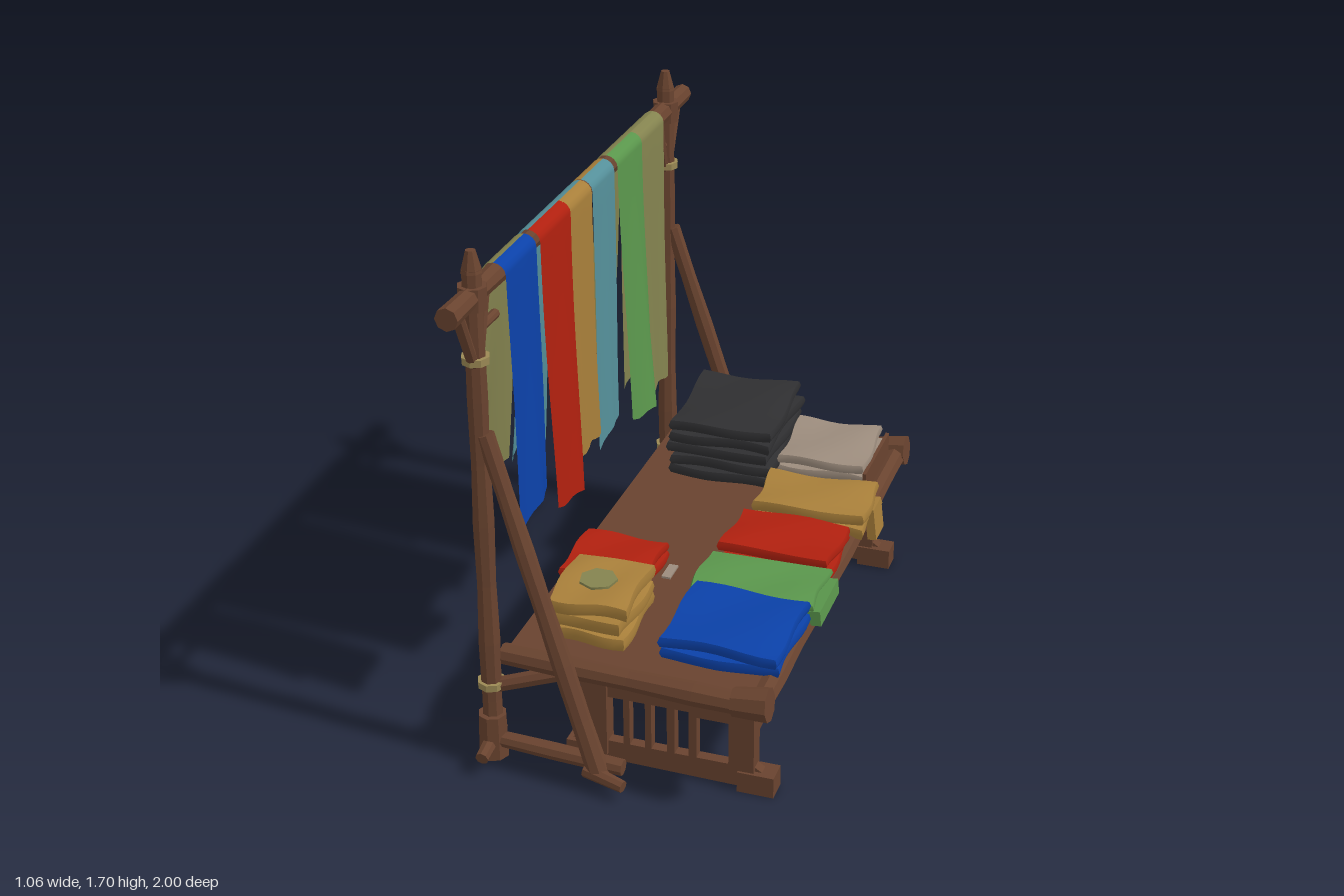
import * as THREE from 'three';

const mat = (name, color) => {
  const m = new THREE.MeshStandardMaterial({ color, side: THREE.DoubleSide });
  m.name = name;
  return m;
};

export function createModel() {
  const root = new THREE.Group();
  root.name = 'fabricStall';
  const wood = mat('wood', 0x69432f), rope = mat('rope', 0x9c8a55), black = mat('black', 0x2f2f31),
    beige = mat('beige', 0x9c8c7d), gold = mat('gold', 0xa87f3a), red = mat('red', 0xb0200f),
    green = mat('green', 0x5a964c), blue = mat('blue', 0x0b41a8), teal = mat('teal', 0x55909a),
    olive = mat('olive', 0x84834f);

  const add = (name, geo, m, parent = root) => {
    const mesh = new THREE.Mesh(geo, m);
    mesh.name = name;
    parent.add(mesh);
    return mesh;
  };
  const faceted = (geo) => {
    const g = geo.toNonIndexed();
    g.computeVertexNormals();
    return g;
  };
  // Rough log between two points
  const log = (name, a, b, r1, r2 = r1, m = wood, sides = 8) => {
    const p = new THREE.Vector3(...a), q = new THREE.Vector3(...b);
    const d = q.clone().sub(p), len = d.length();
    const g = new THREE.CylinderGeometry(r2, r1, len, sides, Math.max(1, Math.round(len / 0.2)));
    const pos = g.attributes.position;
    for (let i = 0; i < pos.count; i++) {
      const y = pos.getY(i), k = 1 + 0.07 * Math.sin(y * 17 + len * 5);
      pos.setXYZ(i, pos.getX(i) * k, y, pos.getZ(i) * k);
    }
    const mesh = add(name, faceted(g), m);
    mesh.position.copy(p).add(q).multiplyScalar(0.5);
    mesh.quaternion.setFromUnitVectors(new THREE.Vector3(0, 1, 0), d.normalize());
    return mesh;
  };
  // Box given by its min and max on each axis
  const block = (name, x0, x1, y0, y1, z0, z1, m = wood) => {
    const mesh = add(name, new THREE.BoxGeometry(x1 - x0, y1 - y0, z1 - z0), m);
    mesh.position.set((x0 + x1) / 2, (y0 + y1) / 2, (z0 + z1) / 2);
    return mesh;
  };
  const polygon = (C, pts) => new C(pts.map(([x, y]) => new THREE.Vector2(x, y)));
  const rect = (x0, x1, y0, y1) => polygon(THREE.Path, [[x0, y0], [x0, y1], [x1, y1], [x1, y0]]);
  const slab = (shape, depth) => {
    const g = new THREE.ExtrudeGeometry(shape, { depth, bevelEnabled: false });
    return g.translate(0, 0, -depth / 2);
  };

  // Table top, slightly wider at the open side
  const top = slab(polygon(THREE.Shape, [[-0.35, -0.79], [0.45, -0.83], [0.45, 0.83], [-0.35, 0.79]]), 0.05);
  top.rotateX(Math.PI / 2);
  add('tableTop', top, wood).position.y = 0.382;
  log('frontRail', [0.45, 0.385, -0.86], [0.45, 0.385, 0.86], 0.036);

  // Front apron with small peg holes and stepped ends
  const apron = polygon(THREE.Shape, [[-0.7, 0.36], [-0.7, 0.26], [-0.66, 0.18], [-0.61, 0.18], [-0.6, 0.22],
    [0.6, 0.22], [0.61, 0.18], [0.66, 0.18], [0.7, 0.26], [0.7, 0.36]]);
  for (const z of [-0.62, -0.43, 0.43, 0.62])
    apron.holes.push(rect(z - 0.012, z + 0.012, 0.27, 0.295));
  const apronMesh = add('frontApron', slab(apron, 0.035), wood);
  apronMesh.rotation.y = -Math.PI / 2;
  apronMesh.position.x = 0.385;
  for (const z of [-0.32, 0.32]) block('apronPeg', 0.4, 0.418, 0.26, 0.35, z - 0.02, z + 0.02);
  block('apronLip', 0.395, 0.42, 0.325, 0.36, -0.64, 0.64);

  for (const s of [-1, 1]) {
    // End panel with slats
    const panel = polygon(THREE.Shape, [[-0.19, 0.02], [0.47, 0.01], [0.47, 0.05], [0.41, 0.09], [0.41, 0.36],
      [-0.2, 0.36], [-0.2, 0.31], [-0.13, 0.26], [-0.13, 0.09], [-0.19, 0.07]]);
    for (const [a, b] of [[-0.06, -0.01], [0.01, 0.06], [0.08, 0.13], [0.155, 0.2], [0.225, 0.33]])
      panel.holes.push(rect(a, b, 0.085, b > 0.3 ? 0.23 : 0.245));
    add('endPanel', slab(panel, 0.035), wood).position.z = s * 0.71;
    // Legs and feet
    const zr = (h) => [s * 0.71 - h, s * 0.71 + h];
    block('frontLeg', 0.33, 0.41, 0.04, 0.36, ...zr(0.03));
    block('frontFoot', 0.36, 0.475, 0.005, 0.075, ...zr(0.038));
    block('backLeg', -0.14, -0.06, 0.04, 0.36, ...zr(0.03));
    block('backFoot', -0.19, -0.08, 0.015, 0.075, ...zr(0.038));

    // Side rail and corner knob
    log('sideRail', [-0.37, 0.378, s * 0.79], [0.46, 0.385, s * 0.835], 0.034, 0.036);
    log('cornerKnob', [0.375, 0.39, s * 0.835], [0.485, 0.4, s * 0.835], 0.046, 0.05);

    // Post with pointed top
    log('post', [-0.4, 0.03, s * 0.82], [-0.4, 1.65, s * 0.82], 0.034, 0.03);
    log('postTip', [-0.4, 1.64, s * 0.82], [-0.4, 1.705, s * 0.82], 0.033, 0.014);
    log('postCollar', [-0.4, 1.53, s * 0.82], [-0.4, 1.6, s * 0.82], 0.044, 0.042);
    log('postFoot', [-0.4, 0.03, s * 0.825], [-0.4, 0.18, s * 0.825], 0.05, 0.042);
    log('ropeTie', [-0.4, 1.362, s * 0.82], [-0.4, 1.385, s * 0.82], 0.042, 0.042, rope);
    log('ropeTie', [-0.4, 0.275, s * 0.82], [-0.4, 0.298, s * 0.82], 0.043, 0.043, rope);
    // Small struts under the hanging bar
    log('outerStrut', [-0.4, 1.36, s * 0.835], [-0.4, 1.56, s * 0.93], 0.018);
    log('innerStrut', [-0.4, 1.36, s * 0.8], [-0.4, 1.56, s * 0.74], 0.018);
    log('strutPeg', [-0.4, 1.45, s * 0.8], [-0.4, 1.45, s * 0.67], 0.014);
    // Long brace and base rails
    log('longBrace', [-0.38, 1.14, s * 0.825], [-0.04, 0.06, s * 0.865], 0.026, 0.034);
    log('braceFoot', [-0.08, 0.07, s * 0.87], [0.05, 0.055, s * 0.9], 0.026, 0.018);
    log('baseRail', [-0.43, 0.095, s * 0.83], [0.03, 0.08, s * 0.84], 0.026);
    log('tableSupport', [-0.41, 0.27, s * 0.82], [-0.18, 0.34, s * 0.78], 0.026);
    log('basePeg', [-0.4, 0.1, s * 0.77], [-0.4, 0.07, s * 0.92], 0.026, 0.02);
  }
  log('hangingBar', [-0.4, 1.57, -1], [-0.4, 1.57, 1], 0.033);

  // Hanging cloth: side +1 falls toward the table, -1 falls behind
  const hang = (m, side, z0, z1, bottom, reach) => {
    const g = new THREE.PlaneGeometry(1, 1, 8, 16), p = g.attributes.position;
    for (let i = 0; i < p.count; i++) {
      const u = p.getX(i) * 2, t = 0.5 - p.getY(i);
      // The first quarter wraps the bar, the rest falls
      const a = Math.min(t / 0.25, 1) * Math.PI / 2, f = Math.max(0, (t - 0.25) / 0.75);
      const low = bottom + 0.02 * u * Math.sin(z0 * 9) + 0.008 * Math.cos(u * 4);
      const x = 0.038 * Math.sin(a) + reach * Math.pow(f, 1.4) * (1 - 0.5 * u * u)
        + 0.005 * f * Math.sin(u * 5 + z0 * 20);
      const y = 1.57 + 0.036 * Math.cos(a) - f * (1.57 - low);
      const z = (z0 + z1) / 2 + u * (z1 - z0) / 2 + 0.012 * Math.sin(f * 4 + z0 * 8) * f;
      p.setXYZ(i, -0.4 + side * x, y, z);
    }
    g.computeVertexNormals();
    add(side > 0 ? 'frontCloth' : 'backCloth', g, m);
  };
  const strips = [ // z range, front colour, bottom, reach, back colour, bottom, reach
    [0.44, 0.67, blue, 0.77, 0.03, olive, 0.85, 0.075],
    [0.165, 0.41, red, 0.665, 0.045, teal, 0.8, 0.08],
    [-0.015, 0.175, gold, 0.735, 0.012, teal, 0.82, 0.015],
    [-0.215, -0.02, teal, 0.695, 0.012, gold, 0.82, 0.095],
    [-0.475, -0.245, green, 0.665, 0.07, olive, 0.83, 0.095],
    [-0.69, -0.475, olive, 0.645, 0.012, olive, 0.66, 0.012],
  ];
  for (const [z0, z1, mf, bf, rf, mb, bb, rb] of strips) {
    hang(mf, 1, z0, z1, bf, rf);
    hang(mb, -1, z0, z1, bb, rb);
  }

  // Stack of folded cloth, each layer soft at the rim and slightly turned
  const stack = (name, m, x0, x1, z0, z1, height, layers) => {
    const group = new THREE.Group();
    group.name = name;
    group.position.set((x0 + x1) / 2, 0.405, (z0 + z1) / 2);
    root.add(group);
    const w = x1 - x0, d = z1 - z0, h = height / layers;
    for (let k = 0; k < layers; k++) {
      const g = new THREE.BoxGeometry(w, h * 0.98, d, 8, 2, 8), p = g.attributes.position;
      const ph = k * 2.3 + x0 * 11 + z0 * 7;
      for (let i = 0; i < p.count; i++) {
        const u = p.getX(i) / w * 2, v = p.getZ(i) / d * 2, y = p.getY(i);
        const rim = Math.max(Math.abs(u), Math.abs(v)) ** 6;
        const pull = Math.abs(y) > h * 0.2 ? 1 - 0.03 * rim : 1;
        p.setXYZ(i, p.getX(i) * pull + 0.006 * Math.sin(v * 3 + ph),
          y * (1 - 0.2 * rim) + 0.004 * Math.sin(u * 3 + v * 2 + ph),
          p.getZ(i) * pull + 0.006 * Math.sin(u * 3 + ph * 2));
      }
      g.computeVertexNormals();
      const layer = add('foldedLayer', g, m, group);
      layer.position.y = h * (k + 0.5);
      layer.rotation.y = 0.035 * Math.sin(ph * 1.7);
    }
  };
  stack('blackStack', black, -0.25, 0.11, -0.81, -0.39, 0.215, 5);
  stack('beigeStack', beige, 0.12, 0.42, -0.76, -0.45, 0.115, 3);
  block('stackBoard', 0.424, 0.436, 0.41, 0.495, -0.765, -0.445);
  stack('frontGoldStack', gold, 0.12, 0.5, -0.4, -0.16, 0.09, 2);
  stack('frontRedStack', red, 0.1, 0.47, -0.125, 0.125, 0.08, 2);
  stack('greenStack', green, 0.08, 0.48, 0.145, 0.39, 0.065, 2);
  stack('blueStack', blue, 0.1, 0.475, 0.375, 0.72, 0.085, 2);
  stack('backRedStack', red, -0.34, -0.06, 0.15, 0.41, 0.07, 2);
  stack('backGoldStack', gold, -0.26, -0.01, 0.425, 0.715, 0.15, 3);

  // Loose ends over the table edge, a patch and a scrap
  block('goldLooseEnd', 0.485, 0.515, 0.35, 0.46, -0.37, -0.27, gold).rotation.z = 0.12;
  block('greenLooseEnd', 0.47, 0.51, 0.4, 0.45, 0.17, 0.38, green).rotation.z = 0.1;
  const patch = add('olivePatch', new THREE.CylinderGeometry(0.06, 0.06, 0.008, 7), olive);
  patch.position.set(-0.14, 0.559, 0.575);
  block('beigeScrap', -0.045, -0.015, 0.407, 0.414, 0.19, 0.27, beige);

  return root;
}
